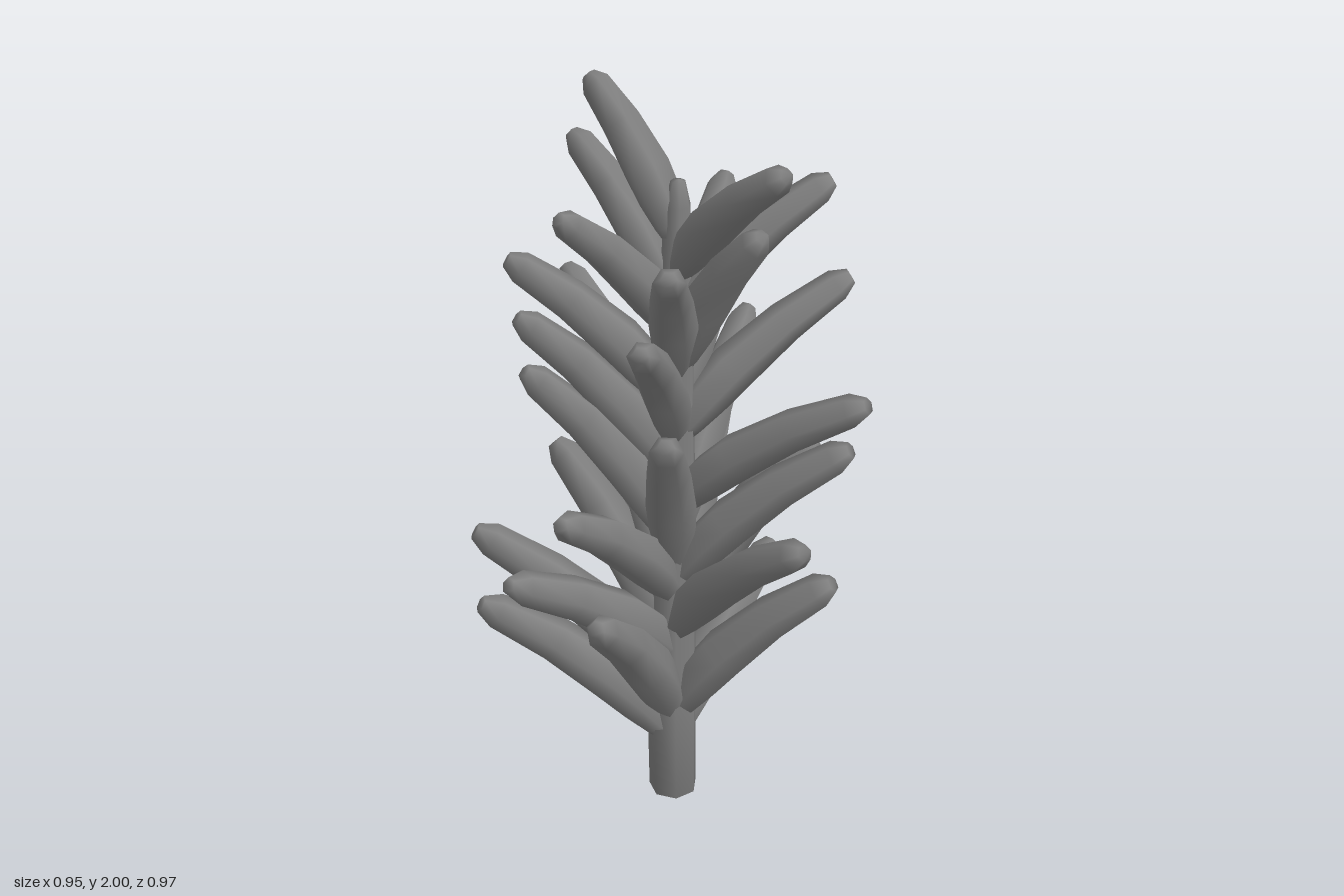
import * as THREE from 'three';

const material = new THREE.MeshStandardMaterial({ color: 0x808080, side: THREE.DoubleSide });

// Leaf tips as x, y, z and, where it matters, the height of the root
const TIPS = [
  [-0.06, 0.58, -0.475, 0.17], [-0.30, 0.67, 0.38, 0.18], [0.37, 0.76, -0.22, 0.25],
  [-0.39, 0.75, -0.20, 0.27], [0.11, 0.78, 0.36, 0.25], [-0.38, 0.83, 0.32, 0.34],
  [-0.08, 0.87, 0.47, 0.45], [0.455, 0.99, 0, 0.51], [-0.34, 1.01, 0.07],
  [-0.42, 1.06, -0.18], [0.20, 1.07, -0.33], [-0.13, 1.08, -0.33],
  [0.06, 1.08, 0.42], [-0.38, 1.15, -0.15], [0.38, 1.14, -0.25],
  [-0.15, 1.28, -0.455], [0.21, 1.27, 0.22], [0.46, 1.31, -0.205],
  [-0.22, 1.33, 0.27], [-0.465, 1.41, -0.10], [-0.25, 1.46, 0.26],
  [0.22, 1.50, -0.415], [0.20, 1.53, 0.29], [-0.13, 1.59, -0.40],
  [-0.30, 1.59, 0.24], [0.21, 1.69, 0.21], [0.21, 1.77, -0.34],
  [0.26, 1.73, -0.04], [-0.13, 1.69, -0.34], [-0.07, 1.77, 0.28],
  [-0.355, 1.82, -0.03], [0.335, 1.90, -0.03], [-0.28, 1.985, -0.02],
];

// Position along the leaf and radius there
const PROFILE = [[0, 0.03], [0.1, 0.048], [0.25, 0.063], [0.42, 0.067], [0.7, 0.057], [0.94, 0.044], [1, 0.022]];
const SIDES = 6;

// Centre line of the slightly leaning stem
function stemPoint(y) {
  const t = y / 1.78;
  return new THREE.Vector3(-0.025 * Math.pow(t, 0.3), y, -0.027 - 0.033 * t);
}

// Six-sided leaf that rises steeply, then bends outward; upper leaves are shorter and thinner
function leafGeometry([x, y, z, rootY]) {
  const tip = new THREE.Vector3(x, y, z);
  const reach = Math.hypot(x + 0.015, z + 0.045);
  const length = 0.65 - 0.32 * Math.max(0, y - 1.33);
  const rise = Math.sqrt(Math.max(length ** 2 - reach ** 2, 0.13));
  const girth = 1.14 - 0.15 * y;
  const root = stemPoint(rootY ?? y - rise);
  const bend = new THREE.Vector3(
    root.x + (x - root.x) * 0.33, root.y + (y - root.y) * 0.58, root.z + (z - root.z) * 0.33);
  const path = new THREE.QuadraticBezierCurve3(root, bend, tip);
  const across = new THREE.Vector3(z - root.z, 0, root.x - x).normalize();

  const positions = [], index = [];
  for (const [t, r] of PROFILE) {
    const centre = path.getPoint(t);
    const up = path.getTangent(t).cross(across).normalize();
    for (let j = 0; j < SIDES; j++) {
      const a = (j / SIDES) * Math.PI * 2;
      const p = centre.clone().addScaledVector(across, Math.cos(a) * r * girth)
        .addScaledVector(up, Math.sin(a) * r * girth);
      positions.push(p.x, p.y, p.z);
    }
  }
  for (let i = 0; i < PROFILE.length - 1; i++) {
    for (let j = 0; j < SIDES; j++) {
      const a = i * SIDES + j, b = i * SIDES + (j + 1) % SIDES;
      index.push(a, b, b + SIDES, a, b + SIDES, a + SIDES);
    }
  }
  // Close both ends
  const last = (PROFILE.length - 1) * SIDES;
  for (let j = 1; j < SIDES - 1; j++) {
    index.push(0, j + 1, j, last, last + j, last + j + 1);
  }
  const geometry = new THREE.BufferGeometry();
  geometry.setAttribute('position', new THREE.Float32BufferAttribute(positions, 3));
  geometry.setIndex(index);
  geometry.computeVertexNormals();
  return geometry;
}

// Tapered stem with a blunt bud at the top, moved onto its centre line
function stemGeometry() {
  const profile = [[0, 0], [0.066, 0.01], [0.068, 0.3], [0.058, 0.9], [0.044, 1.45], [0.032, 1.72], [0.018, 1.78], [0, 1.785]]
    .map(([r, y]) => new THREE.Vector2(r, y));
  const geometry = new THREE.LatheGeometry(profile, 7);
  const pos = geometry.attributes.position;
  for (let i = 0; i < pos.count; i++) {
    const c = stemPoint(pos.getY(i));
    pos.setXYZ(i, pos.getX(i) + c.x, c.y, pos.getZ(i) + c.z);
  }
  return geometry;
}

export function createModel() {
  const plant = new THREE.Group();
  plant.name = 'leafyStem';

  const stem = new THREE.Mesh(stemGeometry(), material);
  stem.name = 'stem';
  plant.add(stem);

  const leaves = new THREE.Group();
  leaves.name = 'leaves';
  TIPS.forEach((tip, i) => {
    const leaf = new THREE.Mesh(leafGeometry(tip), material);
    leaf.name = `leaf${i + 1}`;
    leaves.add(leaf);
  });
  plant.add(leaves);
  return plant;
}
